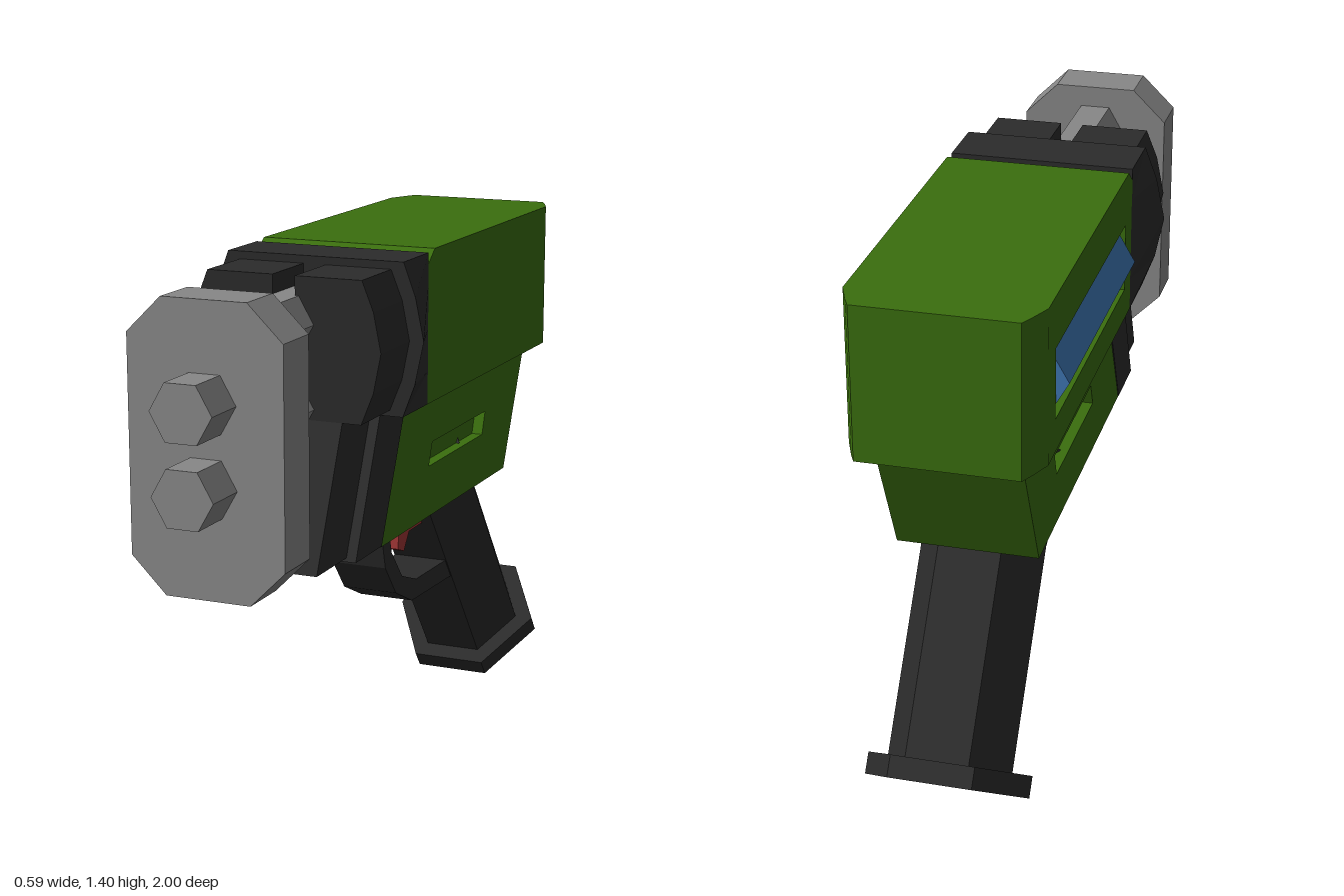
import * as THREE from 'three';

const mat = (color) => new THREE.MeshStandardMaterial({ color, flatShading: true });

function outline(points, holes = []) {
  const toVec = (list) => list.map(([a, b]) => new THREE.Vector2(a, b));
  const shape = new THREE.Shape(toVec(points));
  holes.forEach((h) => shape.holes.push(new THREE.Path(toVec(h))));
  return shape;
}

const extrude = (points, depth, holes) =>
  new THREE.ExtrudeGeometry(outline(points, holes), { depth, bevelEnabled: false });

// Side profile given as [z, y], filling x0..x1
const sideSlab = (points, x0, x1, holes) =>
  extrude(points, x1 - x0, holes).rotateY(-Math.PI / 2).translate(x1, 0, 0);

// Front profile given as [x, y], filling z0..z1
const frontSlab = (points, z0, z1) => extrude(points, z1 - z0).translate(0, 0, z0);

// Plan profile given as [x, z], filling y0..y1
const planSlab = (points, y0, y1) => extrude(points, y1 - y0).rotateX(Math.PI / 2).translate(0, y1, 0);

// Six-sided rod along z with corners pointing left and right
const hexRod = (r, x, y, z0, z1) =>
  new THREE.CylinderGeometry(r, r, z1 - z0, 6).rotateX(Math.PI / 2).rotateZ(Math.PI / 2)
    .translate(x, y, (z0 + z1) / 2);

export function createModel() {
  const model = new THREE.Group();
  const green = mat(0x3a6e0e);
  const black = mat(0x2b2b2b);
  const grey = mat(0x888888);
  const red = mat(0xa03535);
  const blue = mat(0x3d74b0);

  const add = (name, geometry, material) => {
    const mesh = new THREE.Mesh(geometry, material);
    mesh.name = name;
    model.add(mesh);
    return mesh;
  };

  // Upper housing, with a window cut in its right wall
  const upper = [[-0.785, 1.015], [0.115, 1.015], [0.115, 1.375], [0.07, 1.41], [-0.785, 1.41]];
  const windowHole = [[-0.715, 1.1], [0.04, 1.1], [0.04, 1.28], [-0.715, 1.28]];
  add('upperHousing', sideSlab(upper, -0.15, 0.24), green);
  add('windowWall', sideSlab(upper, -0.24, -0.15, [windowHole]), green);
  add('rearHousing', planSlab([
    [-0.24, -0.785], [-0.215, -0.845], [-0.2, -0.875],
    [0.2, -0.875], [0.215, -0.845], [0.24, -0.785],
  ], 1.015, 1.41), green);
  add('energyCell', hexRod(0.09, -0.18, 1.19, -0.705, 0.02), blue);

  // Lower housing, with a slanted slot in each side
  const lower = [[0.11, 1.015], [-0.79, 1.015], [-0.63, 0.67], [0.275, 0.67]];
  const slot = [[-0.05, 0.808], [-0.45, 0.808], [-0.472, 0.87], [-0.075, 0.87]];
  add('lowerHousing', sideSlab(lower, -0.15, 0.15), green);
  add('leftSlotWall', sideSlab(lower, 0.15, 0.18, [slot]), green);
  add('rightSlotWall', sideSlab(lower, -0.18, -0.15, [slot]), green);

  // Rear collar: bulging at its front, straight-sided where it meets the housing
  const bulge = [[0.24, 1.015], [0.272, 1.1], [0.295, 1.21], [0.272, 1.32], [0.24, 1.405]];
  const collar = frontSlab([...bulge, ...bulge.map(([x, y]) => [-x, y]).reverse()], 0.112, 0.277);
  const pos = collar.attributes.position;
  for (let i = 0; i < pos.count; i++) {
    if (pos.getZ(i) < 0.2) pos.setX(i, THREE.MathUtils.clamp(pos.getX(i), -0.24, 0.24));
  }
  collar.computeVertexNormals();
  add('rearCollar', collar, black);
  add('rearCollarFoot', sideSlab(
    [[0.11, 1.03], [0.28, 1.03], [0.437, 0.673], [0.272, 0.673]], -0.182, 0.182), black);

  // Front collar: two halves with a gap along the middle
  const half = [[0.03, 1.03], [0.205, 1.03], [0.237, 1.11], [0.257, 1.21],
    [0.237, 1.31], [0.207, 1.385], [0.03, 1.385]];
  const foot = [[0.27, 1.04], [0.455, 1.035], [0.61, 0.682], [0.43, 0.682]];
  for (const [side, s] of [['left', 1], ['right', -1]]) {
    add(side + 'FrontCollar', frontSlab(half.map(([x, y]) => [s * x, y]), 0.27, 0.457), black);
    add(side + 'FrontCollarFoot', sideSlab(foot, s > 0 ? 0.03 : -0.155, s > 0 ? 0.155 : -0.03), black);
  }

  // Barrels, muzzle plate and muzzle tips
  [1.267, 1.057, 0.857].forEach((y, i) => add('barrel' + (i + 1), hexRod(0.08, 0, y, 0.25, 0.76), grey));
  add('muzzlePlate', frontSlab([
    [-0.11, 0.68], [0.11, 0.68], [0.2, 0.77], [0.2, 1.305],
    [0.11, 1.393], [-0.11, 1.393], [-0.2, 1.305], [-0.2, 0.77],
  ], 0.745, 0.88), grey);
  [1.152, 0.952].forEach((y, i) => add('muzzleTip' + (i + 1), hexRod(0.08, 0, y, 0.87, 1.0), grey));

  // Six-sided grip leaning back, with a wider butt cap
  const grip = new THREE.Group();
  grip.name = 'grip';
  grip.position.set(0, 0.14, -0.833);
  grip.rotation.x = Math.atan2(0.603, 0.797);
  const handle = new THREE.Mesh(
    new THREE.CylinderGeometry(0.16, 0.16, 0.84, 6).rotateY(Math.PI / 2).translate(0, 0.42, 0), black);
  handle.name = 'gripHandle';
  const cap = new THREE.Mesh(
    new THREE.CylinderGeometry(0.211, 0.211, 0.055, 6).rotateY(Math.PI / 2), black);
  cap.name = 'gripCap';
  grip.add(handle, cap);
  model.add(grip);

  // Trigger guard and trigger
  add('triggerGuard', sideSlab([
    [0.04, 0.68], [0.0, 0.527], [-0.075, 0.436], [-0.19, 0.382], [-0.52, 0.37],
    [-0.52, 0.428], [-0.22, 0.436], [-0.118, 0.473], [-0.043, 0.56], [-0.012, 0.68],
  ], -0.077, 0.077), black);
  add('trigger', sideSlab([
    [-0.175, 0.68], [-0.165, 0.532], [-0.208, 0.516], [-0.245, 0.564],
    [-0.38, 0.564], [-0.38, 0.68],
  ], -0.045, 0.045), red);

  return model;
}
